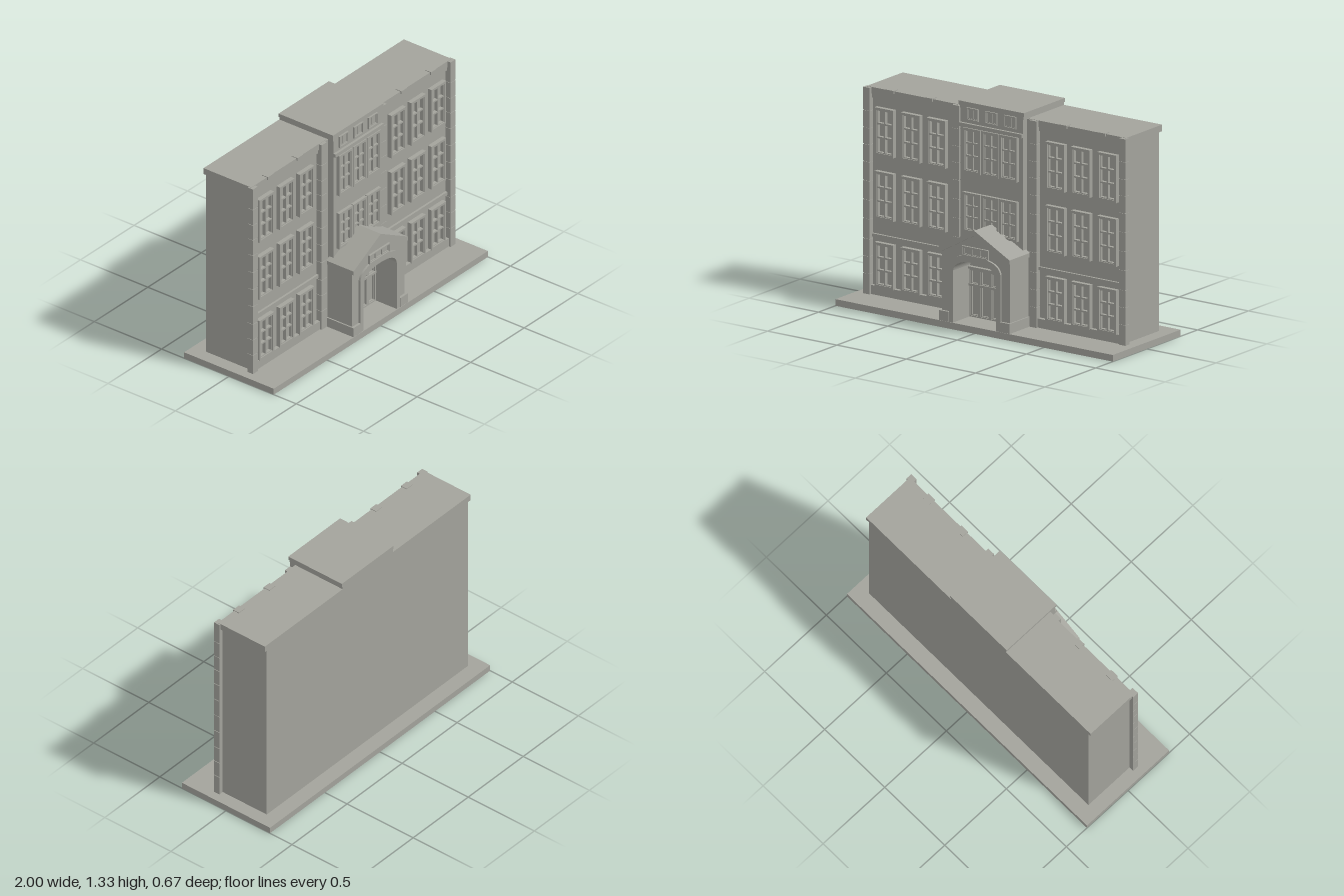
import * as THREE from 'three';

const stone = new THREE.MeshStandardMaterial({ color: 0xa3a39c });
stone.name = 'stone grey';

export function createModel() {
  const model = new THREE.Group();
  model.name = 'schoolBuilding';

  const add = (name, geometry, parent = model) => {
    const mesh = new THREE.Mesh(geometry, stone);
    mesh.name = name;
    parent.add(mesh);
    return mesh;
  };
  // Box given by its extents
  const box = (name, x0, x1, y0, y1, z0, z1, parent) => {
    const g = new THREE.BoxGeometry(x1 - x0, y1 - y0, z1 - z0);
    g.translate((x0 + x1) / 2, (y0 + y1) / 2, (z0 + z1) / 2);
    return add(name, g, parent);
  };
  // Same box on both sides of the centre line
  const pair = (name, x0, x1, y0, y1, z0, z1) => {
    box(name + 'Left', x0, x1, y0, y1, z0, z1);
    box(name + 'Right', -x1, -x0, y0, y1, z0, z1);
  };
  const extrude = (name, shape, z0, z1, parent) => {
    const g = new THREE.ExtrudeGeometry(shape, { depth: z1 - z0, bevelEnabled: false, curveSegments: 20 });
    g.translate(0, 0, z0);
    return add(name, g, parent);
  };
  const polygon = (points) => new THREE.Shape(points.map(([x, y]) => new THREE.Vector2(x, y)));
  const rect = (x0, x1, y0, y1) => polygon([[x0, y0], [x1, y0], [x1, y1], [x0, y1]]);

  // Frame with a grid of openings; rows are listed as [bottom, top] fractions
  const windowFrame = (name, cx, y0, y1, w, z0, z1, cols, rows, edge = 0.014) => {
    const group = new THREE.Group();
    group.name = name;
    model.add(group);
    const outer = rect(cx - w / 2, cx + w / 2, y0, y1);
    const sash = rect(cx - w / 2 + edge, cx + w / 2 - edge, y0 + edge, y1 - edge);
    outer.holes.push(rect(cx - w / 2 + edge, cx + w / 2 - edge, y0 + edge, y1 - edge));
    const innerW = w - 2 * edge, innerH = y1 - y0 - 2 * edge, bar = 0.005;
    for (let c = 0; c < cols; c++) {
      const xa = cx - innerW / 2 + (c * innerW) / cols + bar;
      const xb = cx - innerW / 2 + ((c + 1) * innerW) / cols - bar;
      for (const [a, b] of rows) {
        sash.holes.push(rect(xa, xb, y0 + edge + a * innerH + bar, y0 + edge + b * innerH - bar));
      }
    }
    extrude('surround', outer, z0, z1, group);
    extrude('sash', sash, z0, z1 - 0.007, group);
  };
  const sashRows = [[0, 0.36], [0.36, 0.68], [0.68, 1]];

  // Ground slab and main masses
  box('baseSlab', -1, 1, 0, 0.04, -0.333, 0.333);
  box('mainBlock', -0.915, 0.915, 0.04, 1.25, -0.238, 0.098);
  box('wingRoof', -0.935, 0.935, 1.25, 1.29, -0.24, 0.114);
  box('centreBlock', -0.226, 0.226, 0.04, 1.29, -0.235, 0.16);
  box('centreRoofLower', -0.228, 0.228, 1.29, 1.31, -0.24, 0.16);
  box('centreRoof', -0.235, 0.235, 1.31, 1.333, -0.24, 0.165);
  box('centreLedge', -0.226, 0.226, 1.182, 1.205, 0.155, 0.176);

  // Horizontal courses on the wings
  pair('plinth', 0.25, 0.91, 0.04, 0.095, 0.09, 0.122);
  pair('stringCourse', 0.25, 0.91, 0.385, 0.405, 0.09, 0.112);
  pair('corniceBand', 0.25, 0.91, 1.225, 1.25, 0.09, 0.108);
  for (const x of [0.485, 0.762]) pair('parapetBlock', x - 0.027, x + 0.027, 1.275, 1.294, 0.078, 0.122);

  // Corner and inner pilasters with shallow masonry joints
  const joints = [0.04, 0.165, 0.27, 0.375, 0.495, 0.61, 0.725, 0.84, 0.945, 1.045, 1.15, 1.29];
  for (const [x0, x1] of [[0.9, 0.945], [0.255, 0.303]]) {
    pair('pilasterCore', x0 + 0.003, x1 - 0.003, 0.04, 1.288, 0.095, 0.132);
    for (let i = 0; i < joints.length - 1; i++) {
      pair('pilasterBlock', x0, x1, joints[i] + (i ? 0.002 : 0), joints[i + 1] - 0.002, 0.095, 0.135);
    }
  }
  pair('centreReturn', 0.22, 0.258, 0.04, 1.288, 0.0, 0.12);

  // Three floors of wing windows
  for (const side of [-1, 1]) {
    for (const x of [0.428, 0.613, 0.803]) {
      for (const [y0, y1] of [[0.09, 0.36], [0.502, 0.79], [0.887, 1.175]]) {
        windowFrame('wingWindow', side * x, y0, y1, 0.136, 0.09, 0.126, 2, sashRows);
      }
    }
  }

  // Centre windows and small attic lights
  for (const x of [-0.132, 0, 0.132]) {
    windowFrame('centreWindow', x, 0.55, 0.79, 0.126, 0.155, 0.18, 2, sashRows);
    windowFrame('centreWindow', x, 0.91, 1.18, 0.126, 0.155, 0.18, 2, sashRows);
    windowFrame('atticWindow', x * 1.03, 1.225, 1.3, 0.085, 0.155, 0.17, 2, [[0, 1]], 0.006);
  }

  // Porch with a deep arched passage
  const archEdge = (path, w, spring, rise, floor) => {
    path.lineTo(w, floor);
    path.lineTo(w, spring);
    path.bezierCurveTo(w * 0.93, spring + rise * 0.8, w * 0.5, spring + rise, 0, spring + rise);
    path.bezierCurveTo(-w * 0.5, spring + rise, -w * 0.93, spring + rise * 0.8, -w, spring);
    path.lineTo(-w, floor);
  };
  const walls = new THREE.Shape();
  walls.moveTo(0.245, 0.04);
  for (const [x, y] of [[0.245, 0.47], [0, 0.6], [-0.245, 0.47], [-0.245, 0.04], [-0.155, 0.04], [-0.155, 0.355]]) walls.lineTo(x, y);
  walls.bezierCurveTo(-0.144, 0.41, -0.078, 0.425, 0, 0.425);
  walls.bezierCurveTo(0.078, 0.425, 0.144, 0.41, 0.155, 0.355);
  walls.lineTo(0.155, 0.04);
  extrude('porchWalls', walls, 0.13, 0.315, model);

  // Raised arch surround on the porch front
  const surround = new THREE.Shape();
  surround.moveTo(-0.185, 0.04);
  surround.lineTo(-0.155, 0.04);
  surround.lineTo(-0.155, 0.355);
  surround.bezierCurveTo(-0.144, 0.41, -0.078, 0.425, 0, 0.425);
  surround.bezierCurveTo(0.078, 0.425, 0.144, 0.41, 0.155, 0.355);
  surround.lineTo(0.155, 0.04);
  archEdge(surround, 0.185, 0.385, 0.077, 0.04);
  extrude('archSurround', surround, 0.31, 0.328, model);
  pair('porchPierBase', 0.185, 0.254, 0.04, 0.1, 0.13, 0.331);
  windowFrame('pedimentWindow', 0, 0.456, 0.515, 0.19, 0.31, 0.328, 3, [[0, 1]], 0.007);

  // Gabled porch roof with eaves
  const roof = polygon([[-0.255, 0.46], [-0.235, 0.46], [0, 0.592], [0.235, 0.46], [0.255, 0.46],
    [0.255, 0.485], [0, 0.622], [-0.255, 0.485]]);
  extrude('porchRoof', roof, 0.13, 0.333, model);

  // Entrance doors with transom lights and a fanlight panel
  const doorZ = 0.178;
  for (const x of [-0.112, 0.112]) windowFrame('sideLight', x, 0.045, 0.335, 0.072, 0.155, doorZ, 1, [[0, 0.7], [0.7, 1]], 0.008);
  for (const x of [-0.038, 0.038]) windowFrame('entranceDoor', x, 0.045, 0.335, 0.076, 0.155, doorZ, 1, [[0, 0.7], [0.7, 1]], 0.008);
  box('doorHead', -0.155, 0.155, 0.335, 0.348, 0.155, 0.184);
  box('doorTransom', -0.15, 0.15, 0.232, 0.246, 0.155, 0.182);

  return model;
}
